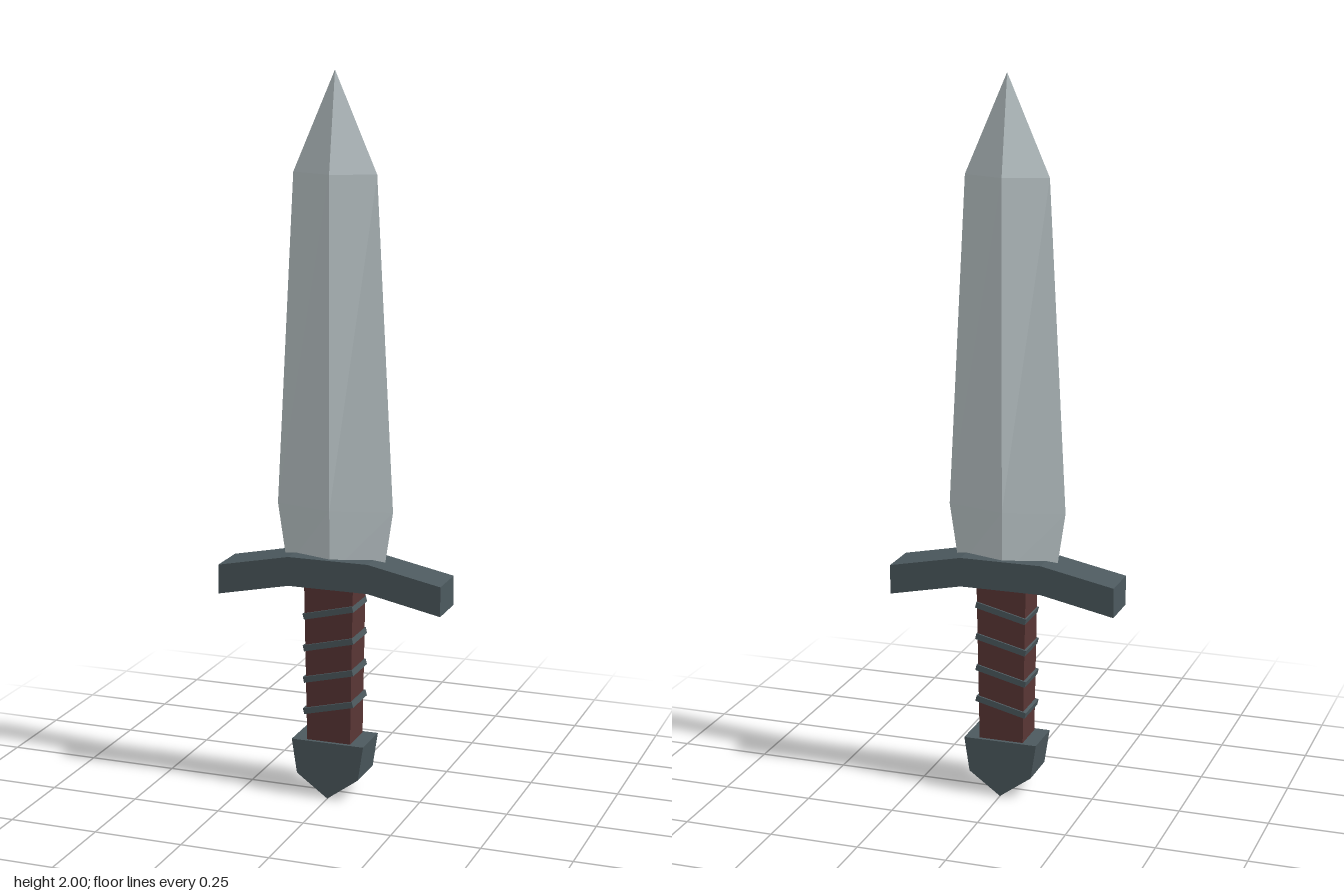
import * as THREE from 'three';

const material = (color) => new THREE.MeshStandardMaterial({ color, flatShading: true });

// Joins diamond-shaped sections [y, halfWidth, halfDepth] into a solid
function diamondLoft(sections) {
  const points = [];
  const corner = (s, k) => {
    const [y, w, d] = sections[s];
    return [[w, y, 0], [0, y, d], [-w, y, 0], [0, y, -d]][k % 4];
  };
  for (let s = 0; s < sections.length - 1; s++) {
    for (let k = 0; k < 4; k++) {
      const a = corner(s, k), b = corner(s, k + 1);
      const c = corner(s + 1, k + 1), d = corner(s + 1, k);
      points.push(...a, ...d, ...b);
      if (sections[s + 1][1] > 0) points.push(...b, ...d, ...c);
    }
  }
  // bottom cap
  points.push(...corner(0, 0), ...corner(0, 1), ...corner(0, 2));
  points.push(...corner(0, 0), ...corner(0, 2), ...corner(0, 3));
  const geometry = new THREE.BufferGeometry();
  geometry.setAttribute('position', new THREE.Float32BufferAttribute(points, 3));
  geometry.computeVertexNormals();
  return geometry;
}

// Extrudes an outline in x and y, centred on z = 0
function slab(outline, depth) {
  const shape = new THREE.Shape(outline.map(([x, y]) => new THREE.Vector2(x, y)));
  return new THREE.ExtrudeGeometry(shape, { depth, bevelEnabled: false }).translate(0, 0, -depth / 2);
}

export function createModel() {
  const group = new THREE.Group();
  const steel = material(0xc5d0d3);
  const iron = material(0x4d5a5f);
  const leather = material(0x5a3635);

  const add = (name, geometry, mat) => {
    const mesh = new THREE.Mesh(geometry, mat);
    mesh.name = name;
    group.add(mesh);
    return mesh;
  };

  // Blade: diamond section, widest just above the guard
  add('blade', diamondLoft([
    [0.64, 0.14, 0.045],
    [0.82, 0.167, 0.045],
    [1.73, 0.118, 0.045],
    [2.0, 0, 0],
  ]), steel);

  // Crossguard with drooping arms
  add('crossguard', slab([
    [-0.322, 0.56], [-0.115, 0.603], [0.115, 0.603], [0.322, 0.56],
    [0.322, 0.643], [0.115, 0.685], [-0.115, 0.685], [-0.322, 0.643],
  ], 0.12), iron);

  // Grip, slightly wider at the top
  add('grip', slab([
    [-0.063, 0.15], [0.063, 0.15], [0.071, 0.62], [-0.071, 0.62],
  ], 0.104), leather);

  // Slanted bands around the grip
  for (let i = 0; i < 4; i++) {
    const band = add('gripBand', new THREE.BoxGeometry(0.148, 0.017, 0.114), iron);
    band.position.y = 0.263 + i * 0.091;
    band.rotation.z = 0.24;
  }

  // Pommel with a wedge-shaped end
  add('pommel', slab([
    [0, 0], [0.09, 0.065], [0.105, 0.163], [-0.105, 0.163], [-0.09, 0.065],
  ], 0.125), iron);

  return group;
}
